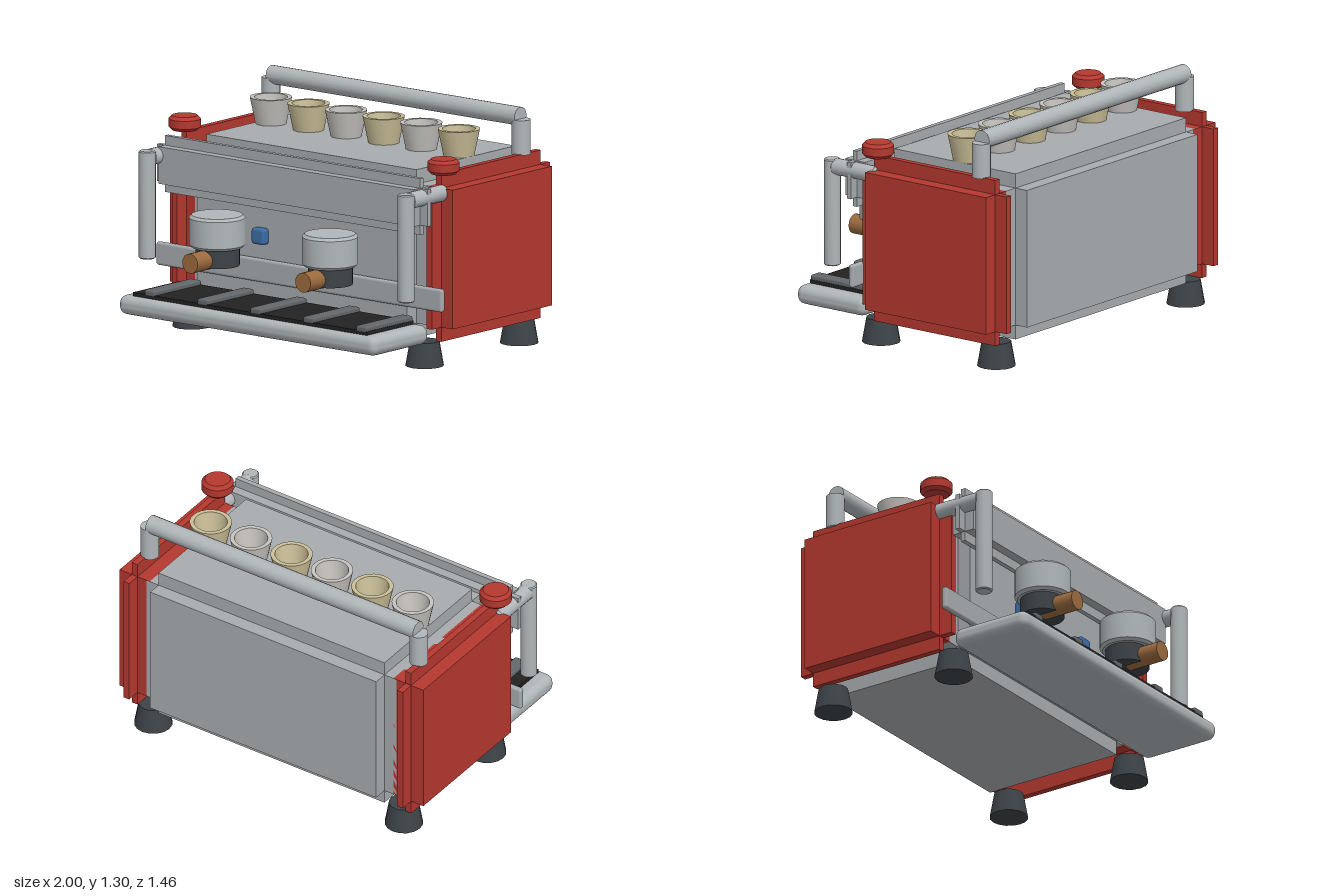
import * as THREE from 'three';
import { toCreasedNormals } from 'three/addons/utils/BufferGeometryUtils.js';
import { RoundedBoxGeometry } from 'three/addons/geometries/RoundedBoxGeometry.js';

const mat = (name, color) => new THREE.MeshStandardMaterial({ name, color });

export function createModel() {
  const steel = mat('steel', 0xa8acaf);
  const chrome = mat('chrome', 0xb0b6b9);
  const red = mat('red', 0xb5382f);
  const rubber = mat('dark rubber', 0x3d4348);
  const black = mat('black', 0x222222);
  const slat = mat('slat grey', 0x63676a);
  const wood = mat('wood', 0x9c6b3f);
  const cream = mat('cream', 0xcbbf98);
  const porcelain = mat('porcelain', 0xc6c3be);
  const blue = mat('blue', 0x3a6ca5);

  const model = new THREE.Group();
  model.name = 'espressoMachine';

  const add = (name, geometry, material, x = 0, y = 0, z = 0) => {
    const mesh = new THREE.Mesh(geometry, material);
    mesh.name = name;
    mesh.position.set(x, y, z);
    model.add(mesh);
    return mesh;
  };
  // Turned part from [radius, height] points running upwards on the outside
  const turned = (points, sides = 24) => toCreasedNormals(
    new THREE.LatheGeometry(points.map(p => new THREE.Vector2(...p)), sides), 0.6);
  // Upright cylinder with a small chamfer c at both ends
  const drum = (r, h, c, sides) => turned(
    [[0, 0], [r - c, 0], [r, c], [r, h - c], [r - c, h], [0, h]], sides);
  // Box given by its limits, with rounded edges
  const rounded = (name, material, x0, x1, y0, y1, z0, z1, r, seg = 2) => add(
    name, new RoundedBoxGeometry(x1 - x0, y1 - y0, z1 - z0, seg, r), material,
    (x0 + x1) / 2, (y0 + y1) / 2, (z0 + z1) / 2);
  // Core box whose six faces are each pushed out by r, leaving stepped edges
  const stepped = (name, material, [x0, x1], [y0, y1], [z0, z1], r) => {
    const size = [x1 - x0, y1 - y0, z1 - z0];
    for (let axis = 0; axis < 3; axis++) {
      const s = size.map((v, i) => (i === axis ? v + 2 * r : v));
      add(name, new THREE.BoxGeometry(...s), material,
        (x0 + x1) / 2, (y0 + y1) / 2, (z0 + z1) / 2);
    }
  };

  // Housing and the hood over the brewing heads
  stepped('housing', steel, [-0.735, 0.735], [0.215, 0.977], [-0.652, 0.178], 0.079);
  stepped('hood', steel, [-0.893, 0.893], [0.797, 1.0], [0.308, 0.336], 0.053);
  rounded('frontBar', steel, -1, 1, 0.322, 0.45, 0.252, 0.286, 0.015);

  // Drip tray with grate and slats
  rounded('dripTray', chrome, -0.9, 0.9, 0.135, 0.24, 0.258, 0.73, 0.045, 3);
  add('grate', new THREE.BoxGeometry(1.635, 0.025, 0.39), black, 0, 0.2475, 0.495);
  for (let i = 0; i < 5; i++) {
    const x = 0.037 + (i - 2) * 0.37;
    rounded('traySlat', slat, x - 0.038, x + 0.038, 0.25, 0.286, 0.3, 0.692, 0.012);
  }

  for (const s of [-1, 1]) {
    // Side panels and feet
    stepped('sidePanel', red, s < 0 ? [-0.909, -0.872] : [0.872, 0.909],
      [0.215, 0.977], [-0.652, 0.178], 0.079);
    for (const z of [0.205, -0.585]) {
      add('foot', new THREE.CylinderGeometry(0.08, 0.104, 0.135, 16), rubber, s * 0.815, 0.0675, z);
    }

    // Steam knob, arm and wand
    add('steamKnob', drum(0.087, 0.08, 0.018), red, s * 0.905, 1.055, 0.155);
    const arm = add('steamArm', drum(0.045, 0.3, 0.012, 16), chrome, s * 0.905, 0.95, 0.155);
    arm.rotation.x = Math.PI / 2;
    add('steamWand', drum(0.046, 0.59, 0.006, 16), chrome, s * 0.905, 0.4, 0.468);

    // Brewing head, filter holder and handle
    add('brewHead', drum(0.152, 0.177, 0.015, 32), chrome, s * 0.395, 0.535, 0.494);
    add('filterHolder', new THREE.CylinderGeometry(0.12, 0.12, 0.11, 24), rubber, s * 0.395, 0.49, 0.49);
    const handle = add('handle', new THREE.CylinderGeometry(0.054, 0.054, 0.22, 16), wood, s * 0.395, 0.477, 0.61);
    handle.rotation.x = Math.PI / 2;

    // Push button
    const x = s * 0.275;
    rounded('button', blue, x - 0.045, x + 0.045, 0.53, 0.62, 0.25, 0.306, 0.018);

    // Cup rail post
    add('railPost', new THREE.CylinderGeometry(0.051, 0.051, 0.19, 16), chrome, s * 0.87, 1.145, -0.53);
    model.children.at(-1).position.x = s * 0.875;
  }
  const rail = add('cupRail', new THREE.CylinderGeometry(0.051, 0.051, 1.74, 16), chrome, 0, 1.254, -0.53);
  rail.rotation.z = Math.PI / 2;

  // Row of cups in alternating colours
  const cup = turned([[0, 0], [0.084, 0], [0.114, 0.145], [0.09, 0.145], [0.072, 0.03], [0, 0.03]]);
  for (let i = 0; i < 6; i++) {
    add('cup', cup, i % 2 ? cream : porcelain, (i - 2.5) * 0.263, 1.056, -0.27);
  }
  return model;
}
